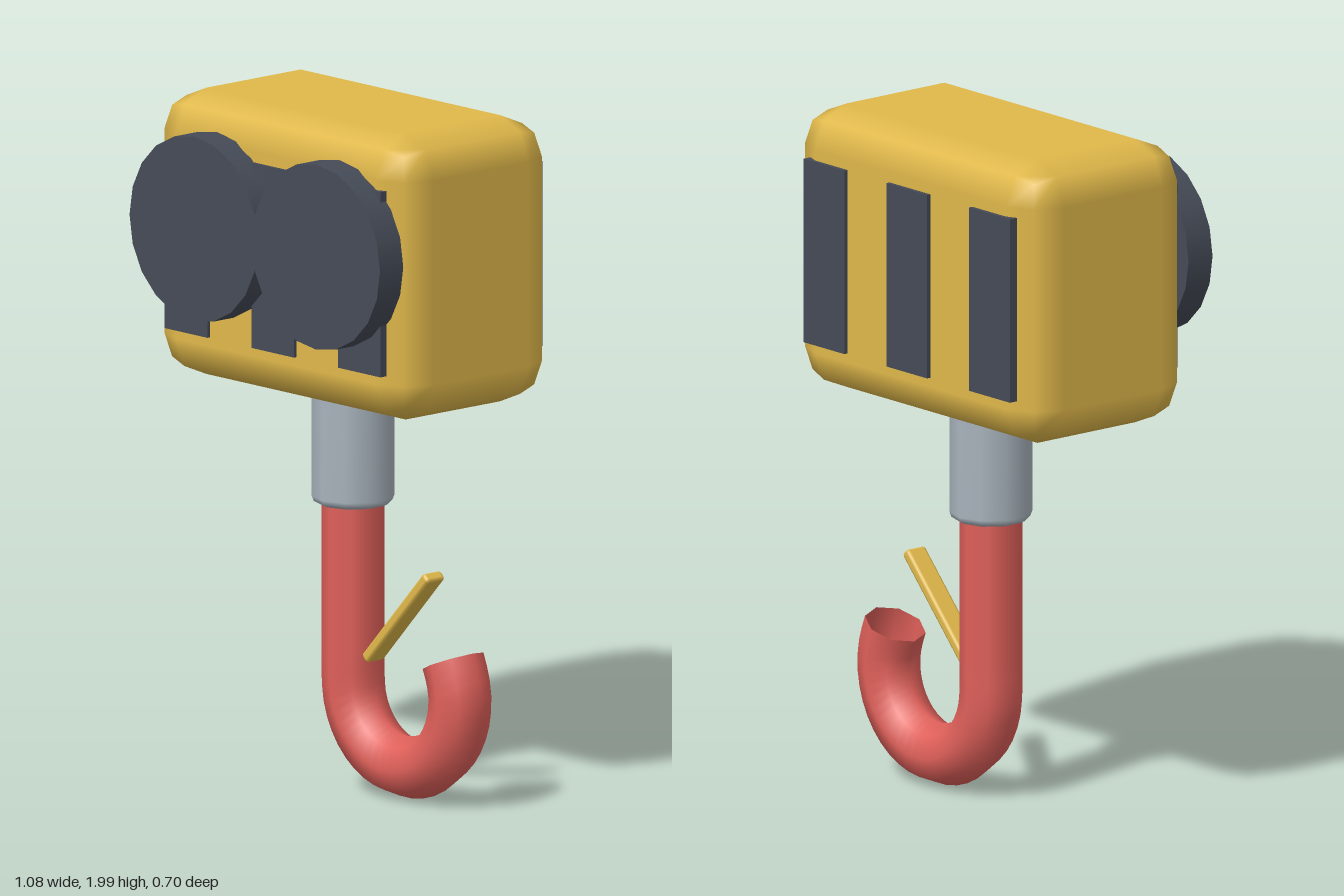
import * as THREE from 'three';
import { RoundedBoxGeometry } from 'three/addons/geometries/RoundedBoxGeometry.js';

const Z = -0.036; // middle plane of body, collar and hook

function material(name, color, side = THREE.FrontSide) {
  const m = new THREE.MeshStandardMaterial({ color, side });
  m.name = name;
  return m;
}

export function createModel() {
  const model = new THREE.Group();
  model.name = 'craneHook';
  const yellow = material('yellow', 0xe0b84a);
  const dark = material('charcoal', 0x454b57);
  const steel = material('steel', 0xa9b4bd);
  const red = material('red', 0xe0605a, THREE.DoubleSide);

  const add = (name, geometry, mat, x, y, z) => {
    const mesh = new THREE.Mesh(geometry, mat);
    mesh.name = name;
    mesh.position.set(x, y, z);
    model.add(mesh);
    return mesh;
  };

  // Block housing with rounded edges
  add('housing', new RoundedBoxGeometry(1.08, 0.835, 0.605, 1, 0.12), yellow, 0, 1.5825, Z);

  // Three stripes on the front and on the back
  const stripe = new THREE.BoxGeometry(0.18, 0.54, 0.03);
  for (const x of [-0.365, 0, 0.365]) {
    add('frontStripe', stripe, dark, x, 1.582, 0.261);
    add('backStripe', stripe, dark, x, 1.582, -0.336);
  }

  // Pair of pulley discs on the front
  const disc = new THREE.CylinderGeometry(0.27, 0.27, 0.09, 20).rotateX(Math.PI / 2);
  for (const side of [-1, 1]) add('pulleyDisc', disc, dark, side * 0.258, 1.642, 0.3);

  // Collar with a small bevel at its lower rim
  const collar = [[0, 0], [0.1, 0], [0.113, 0.007], [0.119, 0.022], [0.119, 0.38]]
    .map(([r, y]) => new THREE.Vector2(r, y));
  add('collar', new THREE.LatheGeometry(collar, 10), steel, 0, 0.83, Z);

  // Hook: straight shank, round bend and a short straight tip
  const R = 0.225, cy = 0.32;
  const path = [[0, 0.9], [0, 0.7], [0, 0.5], [0, 0.4]];
  const end = THREE.MathUtils.degToRad(383);
  for (let i = 0; i <= 14; i++) {
    const a = Math.PI + (end - Math.PI) * i / 14;
    path.push([R + R * Math.cos(a), cy + R * Math.sin(a)]);
  }
  path.push([0.421, 0.435]);
  const curve = new THREE.CatmullRomCurve3(path.map(([x, y]) => new THREE.Vector3(x, y, 0)));
  add('hook', new THREE.TubeGeometry(curve, 40, 0.09, 8), red, 0, 0, Z);

  // Safety latch leaning out from the shank
  const latch = add('latch', new RoundedBoxGeometry(0.385, 0.032, 0.07, 1, 0.01), yellow, 0.211, 0.53, Z);
  latch.rotation.z = THREE.MathUtils.degToRad(47);

  return model;
}
